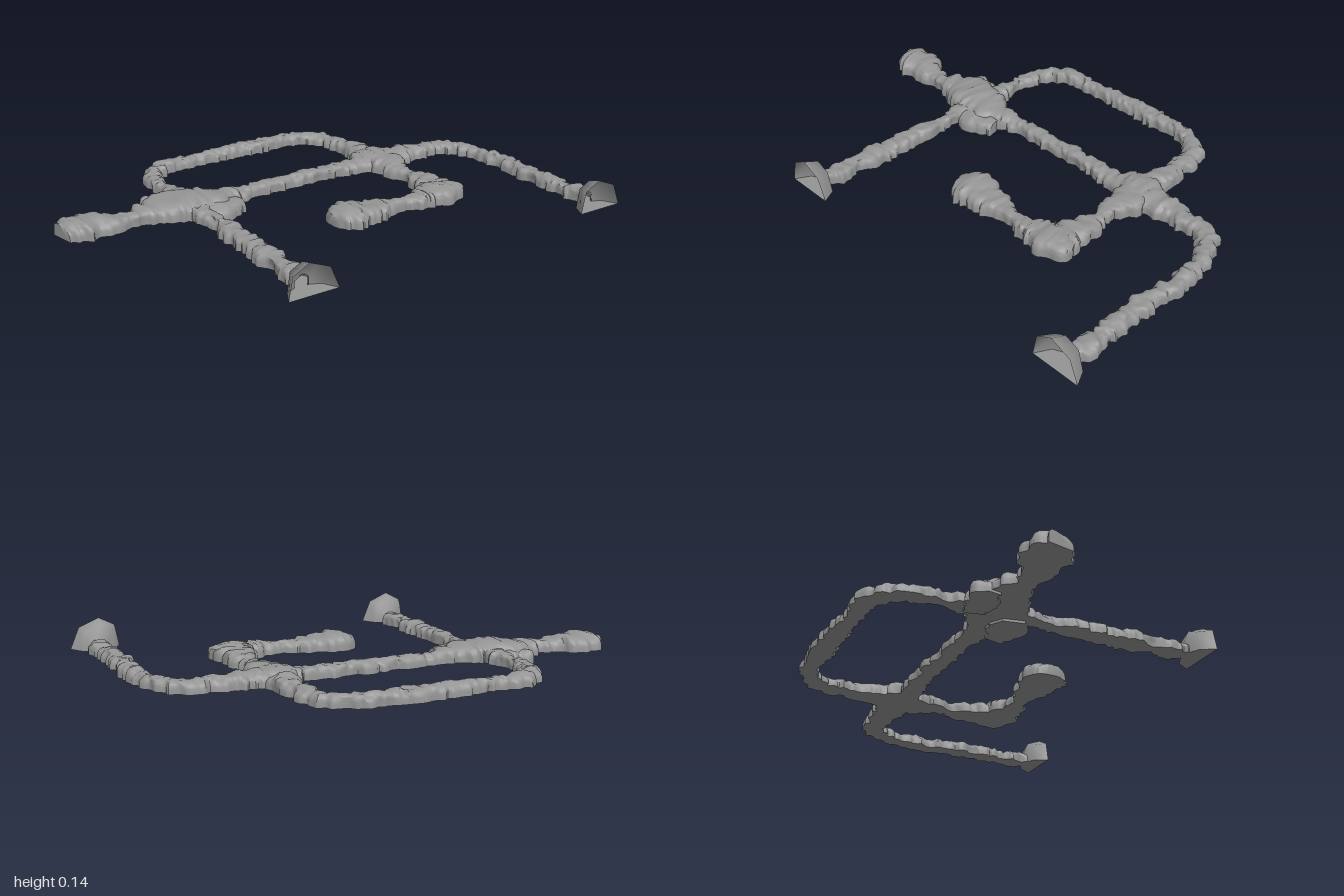
import * as THREE from 'three';
import { toCreasedNormals } from 'three/addons/utils/BufferGeometryUtils.js';

const FLOOR = 0.01;
const rock = new THREE.MeshStandardMaterial({ color: 0x959595, side: THREE.DoubleSide });

// Smooth repeatable 2D value noise in -1..1
function hash(i, j, seed) {
  const s = Math.sin(i * 127.1 + j * 311.7 + seed * 74.7) * 43758.5453;
  return (s - Math.floor(s)) * 2 - 1;
}
function noise(u, v, seed) {
  const i = Math.floor(u), j = Math.floor(v);
  const f = THREE.MathUtils.smoothstep(u - i, 0, 1), g = THREE.MathUtils.smoothstep(v - j, 0, 1);
  const mix = THREE.MathUtils.lerp;
  return mix(mix(hash(i, j, seed), hash(i + 1, j, seed), f), mix(hash(i, j + 1, seed), hash(i + 1, j + 1, seed), f), g);
}

function rockMesh(name, pos, index, crease) {
  const geo = new THREE.BufferGeometry();
  geo.setAttribute('position', new THREE.Float32BufferAttribute(pos, 3));
  geo.setIndex(index);
  const mesh = new THREE.Mesh(toCreasedNormals(geo, crease), rock);
  mesh.name = name;
  return mesh;
}

// Strip of faces over the top between two cross-sections, plus the floor between their ends
function bridge(index, a, b, sides) {
  for (let j = 0; j < sides; j++) index.push(a + j, b + j, a + j + 1, b + j, b + j + 1, a + j + 1);
  index.push(a, a + sides, b, b, a + sides, b + sides);
}

// Rough half-round tunnel with a flat floor; keys are [x, z, halfWidth]
function tunnel(name, keys, seed, { floor = FLOOR, openEnd = false } = {}) {
  const curve = new THREE.CatmullRomCurve3(keys.map(([x, z, w]) => new THREE.Vector3(x, w, z)));
  const length = curve.getLength();
  const rings = Math.max(6, Math.round(length / 0.007)), sides = 16, row = sides + 1;
  const path = curve.getSpacedPoints(rings);
  const pos = [], index = [];
  path.forEach((p, i) => {
    const a = path[Math.max(i - 3, 0)], b = path[Math.min(i + 3, rings)];
    const tx = b.x - a.x, tz = b.z - a.z, len = Math.hypot(tx, tz) || 1;
    const s = (i / rings) * length;
    for (let j = 0; j <= sides; j++) {
      const ang = (j / sides) * Math.PI, c = Math.cos(ang), h = Math.sin(ang);
      const lump = 0.012 * noise(s / 0.045, c * 1.4 + 9, seed) + 0.012 * noise(s / 0.018, c * 1.8 + 4, seed + 7);
      const out = Math.sign(c) * Math.pow(Math.abs(c), 0.75) * (p.y + lump);
      const up = Math.pow(Math.max(h, 0), 0.6) * (0.035 + 0.35 * p.y + 0.4 * lump);
      pos.push(p.x - (tz / len) * out, floor + up, p.z + (tx / len) * out);
    }
    if (i > 0) bridge(index, (i - 1) * row, i * row, sides);
  });
  // Fans closing the ends
  const last = rings * row;
  for (let j = 1; j < sides; j++) {
    index.push(0, j, j + 1);
    if (!openEnd) index.push(last, last + j + 1, last + j);
  }
  return rockMesh(name, pos, index, 0.9);
}

// Hollow hood that narrows to the small tunnel arch
function entrance(name, x) {
  const loops = [
    { z: 0.705, pts: [[0.105, 0.01], [0.067, 0.1], [-0.018, 0.135], [-0.085, 0.1], [-0.103, 0.01]] },
    { z: 0.645, pts: [[0.072, 0.01], [0.05, 0.09], [-0.01, 0.115], [-0.06, 0.09], [-0.072, 0.01]] },
    { z: 0.625, pts: [[0.03, 0.01], [0.026, 0.038], [0, 0.052], [-0.026, 0.038], [-0.03, 0.01]] },
  ];
  const pos = loops.flatMap(({ z, pts }) => pts.flatMap(([px, py]) => [px, py, z]));
  const index = [];
  bridge(index, 0, 5, 4);
  bridge(index, 5, 10, 4);
  const mesh = rockMesh(name, pos, index, 1.25);
  mesh.position.x = x;
  return mesh;
}

export function createModel() {
  const group = new THREE.Group();
  group.name = 'caveNetwork';

  // Long passage from the blind chamber to the left entrance
  group.add(tunnel('mainPassage', [
    [-0.997, -0.205, 0.05], [-0.97, -0.21, 0.075], [-0.9, -0.22, 0.092], [-0.82, -0.2, 0.06], [-0.72, -0.195, 0.043],
    [-0.62, -0.21, 0.085], [-0.5, -0.2, 0.11], [-0.4, -0.18, 0.1], [-0.3, -0.185, 0.055], [-0.2, -0.2, 0.04],
    [0, -0.2, 0.042], [0.2, -0.2, 0.036], [0.34, -0.2, 0.045], [0.44, -0.21, 0.09], [0.54, -0.2, 0.07],
    [0.68, -0.2, 0.05], [0.79, -0.185, 0.042], [0.86, -0.13, 0.038], [0.895, -0.04, 0.036], [0.9, 0.05, 0.046],
    [0.905, 0.14, 0.034], [0.9, 0.25, 0.046], [0.9, 0.33, 0.034], [0.905, 0.41, 0.048], [0.9, 0.49, 0.03],
    [0.897, 0.55, 0.05], [0.895, 0.63, 0.026],
  ], 1, { openEnd: true }));

  // Passage to the right entrance
  group.add(tunnel('rightPassage', [
    [-0.47, -0.2, 0.07], [-0.47, -0.08, 0.045], [-0.465, 0, 0.026], [-0.465, 0.1, 0.04], [-0.465, 0.19, 0.034],
    [-0.46, 0.28, 0.048], [-0.46, 0.41, 0.048], [-0.46, 0.48, 0.028], [-0.465, 0.56, 0.052], [-0.475, 0.63, 0.026],
  ], 2, { openEnd: true }));

  // Loop around the back
  group.add(tunnel('backLoop', [
    [-0.47, -0.2, 0.08], [-0.47, -0.32, 0.042], [-0.465, -0.42, 0.026], [-0.46, -0.52, 0.038], [-0.41, -0.61, 0.042],
    [-0.3, -0.65, 0.045], [-0.2, -0.65, 0.03], [-0.12, -0.65, 0.04], [0, -0.65, 0.042], [0.15, -0.655, 0.042],
    [0.3, -0.645, 0.034], [0.39, -0.61, 0.04], [0.44, -0.52, 0.042], [0.455, -0.4, 0.045], [0.45, -0.3, 0.065],
    [0.45, -0.2, 0.08],
  ], 3));

  // Hooked passage ending in a blind chamber
  group.add(tunnel('innerPassage', [
    [0.45, -0.22, 0.08], [0.46, -0.1, 0.07], [0.455, 0.02, 0.03], [0.46, 0.1, 0.055], [0.455, 0.18, 0.07],
    [0.435, 0.245, 0.085], [0.36, 0.265, 0.065], [0.24, 0.265, 0.032], [0.15, 0.26, 0.055], [0.06, 0.25, 0.08],
    [-0.01, 0.245, 0.098], [-0.06, 0.245, 0.07], [-0.087, 0.245, 0.03],
  ], 4));
  group.add(tunnel('innerCorner', [[0.34, 0.27, 0.05], [0.42, 0.265, 0.075], [0.49, 0.26, 0.07], [0.53, 0.24, 0.03]], 5));

  // Slightly sunken side pockets of the right junction
  group.add(tunnel('backPocket', [[-0.635, -0.28, 0.03], [-0.6, -0.285, 0.055], [-0.53, -0.285, 0.065], [-0.46, -0.27, 0.04]], 6, { floor: 0 }));
  group.add(tunnel('frontPocket', [[-0.46, -0.12, 0.05], [-0.4, -0.11, 0.068], [-0.33, -0.11, 0.06], [-0.285, -0.12, 0.035]], 7, { floor: 0 }));

  group.add(entrance('rightEntrance', -0.475), entrance('leftEntrance', 0.895));
  return group;
}
